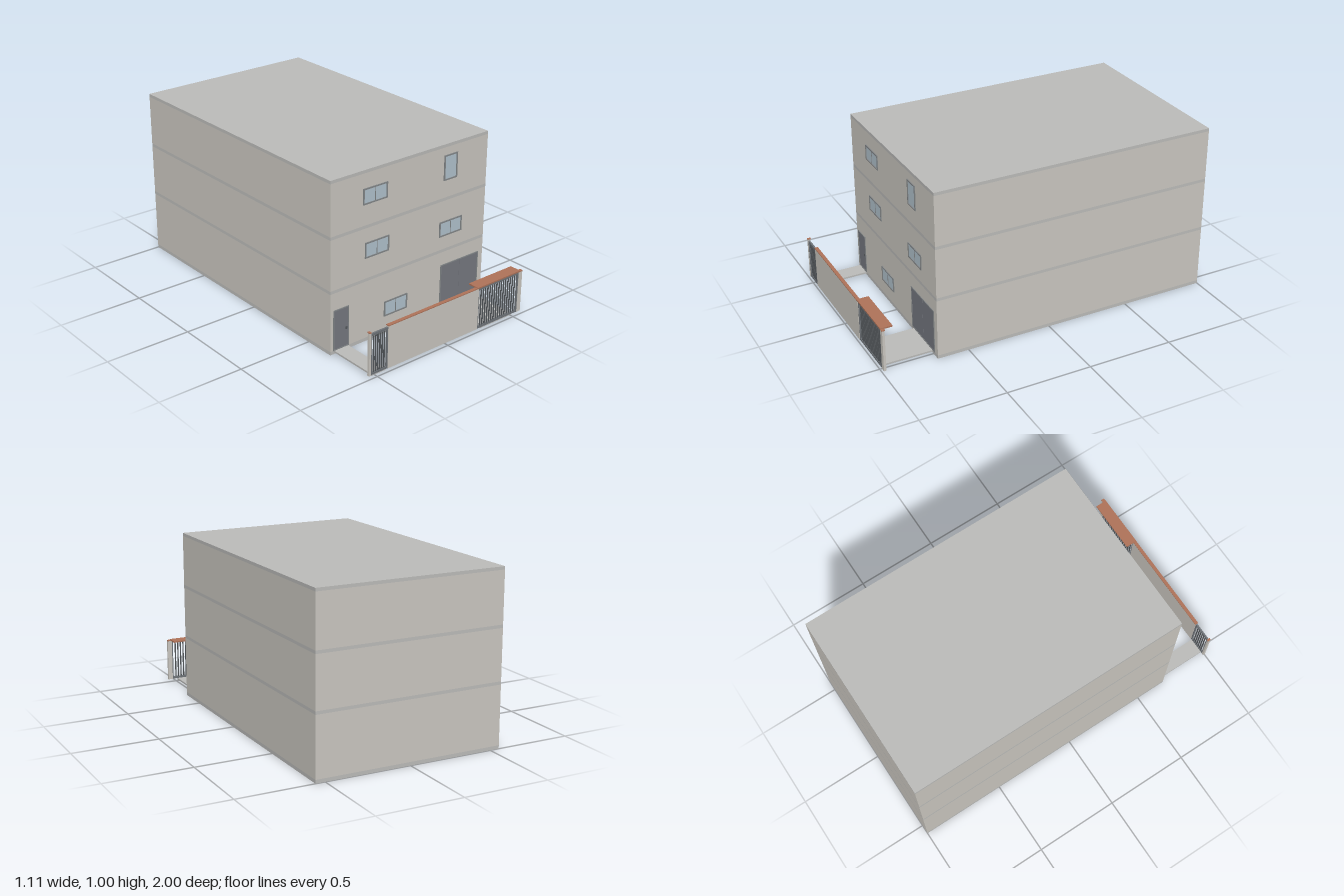
import * as THREE from 'three';

const mat = (color) => new THREE.MeshStandardMaterial({ color });

export function createModel() {
  const model = new THREE.Group();
  const wallMat = mat(0xccc9c2), slabMat = mat(0xbdbdbb), frameMat = mat(0x85898b);
  const glassMat = mat(0xb4c5d0), doorMat = mat(0x777a82), railMat = mat(0x70757a);
  const barMat = mat(0x55595d), woodMat = mat(0xb0745a);

  const FRONT = 0.685, HALF = 0.555;

  // Box given by its lower and upper limits on each axis
  function box(name, parent, material, [x0, x1], [y0, y1], [z0, z1]) {
    const mesh = new THREE.Mesh(new THREE.BoxGeometry(x1 - x0, y1 - y0, z1 - z0), material);
    mesh.position.set((x0 + x1) / 2, (y0 + y1) / 2, (z0 + z1) / 2);
    mesh.name = name;
    parent.add(mesh);
    return mesh;
  }

  function group(name) {
    const g = new THREE.Group();
    g.name = name;
    model.add(g);
    return g;
  }

  // House body: alternating floor slabs and storeys
  const house = group('house');
  const levels = [0, 0.02, 0.36, 0.378, 0.67, 0.688, 0.982, 1];
  for (let i = 0; i < levels.length - 1; i++) {
    const slab = i % 2 === 0;
    box(slab ? 'floorSlab' : 'storeyWalls', house, slab ? slabMat : wallMat,
      [-HALF, HALF], [levels[i], levels[i + 1]], [-1, FRONT]);
  }

  // Rectangular frame with a hole, sitting on the front wall
  function frame(parent, [x0, x1], [y0, y1], t, depth) {
    const shape = new THREE.Shape([[x0, y0], [x1, y0], [x1, y1], [x0, y1]].map(p => new THREE.Vector2(...p)));
    shape.holes.push(new THREE.Path([[x0 + t, y0 + t], [x0 + t, y1 - t], [x1 - t, y1 - t], [x1 - t, y0 + t]]
      .map(p => new THREE.Vector2(...p))));
    const mesh = new THREE.Mesh(new THREE.ExtrudeGeometry(shape, { depth, bevelEnabled: false }), frameMat);
    mesh.position.z = FRONT;
    mesh.name = 'frame';
    parent.add(mesh);
  }

  // Windows with one or two panes
  function addWindow(x, y, panes) {
    const g = group('window');
    frame(g, x, y, 0.008, 0.005);
    box('glass', g, glassMat, [x[0] + 0.008, x[1] - 0.008], [y[0] + 0.008, y[1] - 0.008], [FRONT - 0.002, FRONT + 0.0015]);
    if (panes === 2) {
      const c = (x[0] + x[1]) / 2;
      box('mullion', g, frameMat, [c - 0.002, c + 0.002], [y[0] + 0.008, y[1] - 0.008], [FRONT, FRONT + 0.0035]);
    }
  }
  addWindow([-0.34, -0.173], [0.807, 0.898], 2);
  addWindow([0.23, 0.327], [0.79, 0.937], 1);
  addWindow([-0.323, -0.157], [0.497, 0.588], 2);
  addWindow([0.21, 0.377], [0.458, 0.548], 2);
  addWindow([-0.183, -0.017], [0.105, 0.195], 2);

  // Doors: a single entrance and a wide pair of leaves
  function addDoor(name, x, top, leaves) {
    const g = group(name);
    frame(g, x, [0.02, top], 0.006, 0.004);
    const w = (x[1] - x[0] - 0.012) / leaves;
    for (let i = 0; i < leaves; i++) {
      const a = x[0] + 0.006 + i * w;
      box('doorLeaf', g, doorMat, [a + 0.0008, a + w - 0.0008], [0.026, top - 0.006], [FRONT - 0.002, FRONT + 0.002]);
    }
    if (leaves === 1) {
      box('doorHandle', g, barMat, [x[1] - 0.022, x[1] - 0.012], [0.125, 0.14], [FRONT, FRONT + 0.006]);
    }
  }
  addDoor('entranceDoor', [-0.535, -0.43], 0.26, 1);
  addDoor('wideDoor', [0.23, 0.52], 0.282, 2);

  // Paths from the doors to the gates
  box('narrowPath', model, slabMat, [-0.53, -0.435], [0.011, 0.021], [FRONT, 0.99]);
  box('widePath', model, slabMat, [0.25, 0.495], [0.011, 0.021], [FRONT, 0.99]);

  // Garden wall with its thin timber coping
  const garden = group('gardenWall');
  for (const x of [[-HALF, -0.542], [-0.428, 0.22], [0.528, HALF]]) {
    box('wallSection', garden, wallMat, x, [0.02, 0.268], [0.984, 0.998]);
    box('coping', garden, woodMat, x, [0.268, 0.273], [0.98, 1]);
  }

  // Barred gates
  function addGate(name, [x0, x1], top, bars) {
    const g = group(name);
    const z = [0.986, 0.996];
    for (const x of [x0, x1 - 0.007]) box('gatePost', g, railMat, [x, x + 0.007], [0.02, top], z);
    for (const y of [[0.021, 0.033], [top - 0.014, top]]) box('gateRail', g, railMat, [x0 + 0.007, x1 - 0.007], y, z);
    const a = x0 + 0.007, step = (x1 - x0 - 0.014) / (bars + 1);
    for (let i = 1; i <= bars; i++) {
      const c = a + i * step;
      box('gateBar', g, barMat, [c - 0.003, c + 0.003], [0.033, top - 0.014], [0.988, 0.994]);
    }
  }
  addGate('narrowGate', [-0.542, -0.428], 0.262, 6);
  addGate('wideGate', [0.22, 0.528], 0.268, 16);

  // Timber shelter over the wide gate
  box('gateCanopy', model, woodMat, [0.21, 0.535], [0.268, 0.276], [0.93, 1]);

  return model;
}
